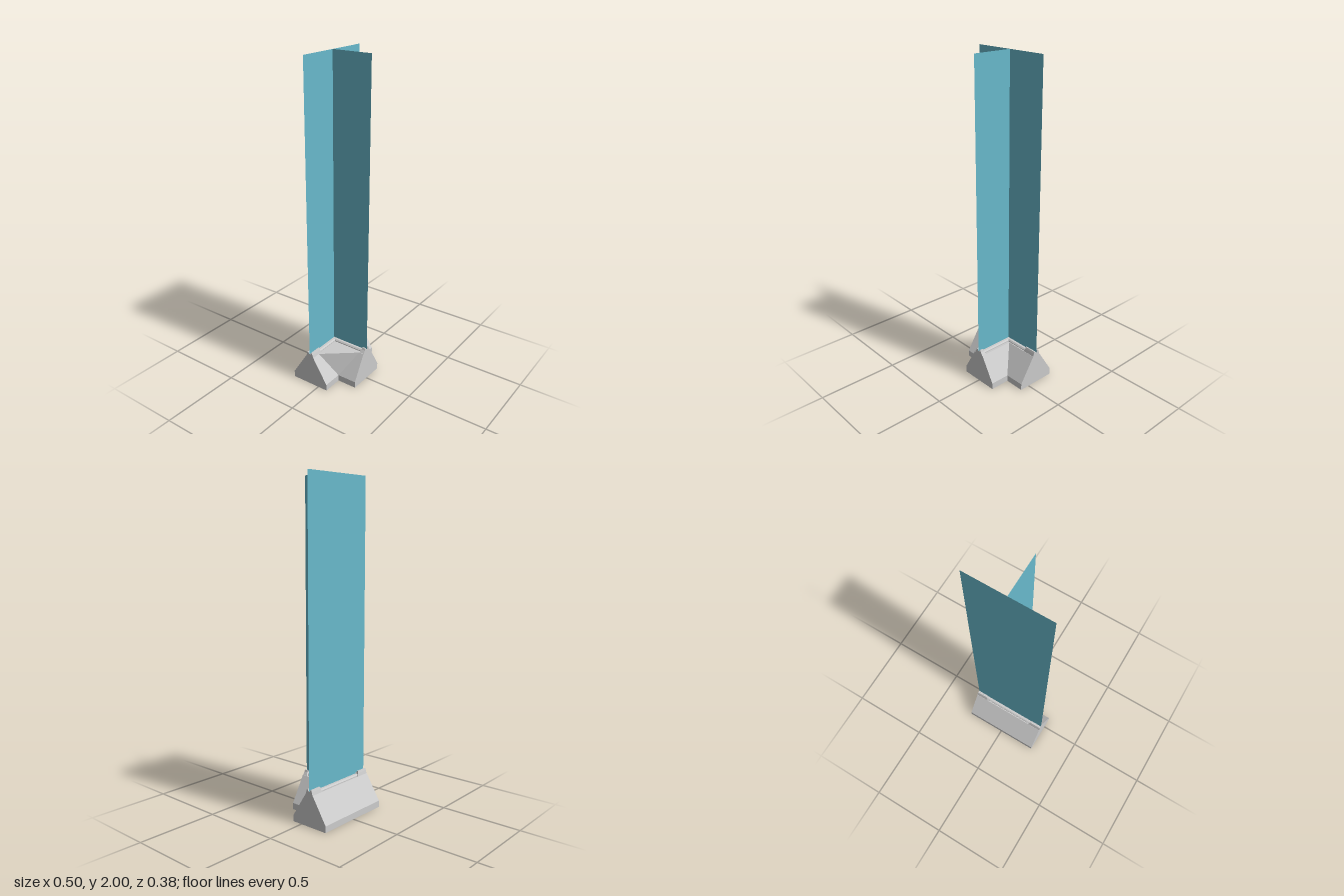
import * as THREE from 'three';
import { ConvexGeometry } from 'three/addons/geometries/ConvexGeometry.js';

const stone = new THREE.MeshStandardMaterial({ color: 0xcccccc, flatShading: true });
const glass = new THREE.MeshStandardMaterial({ color: 0x68b9cb, side: THREE.DoubleSide });

const RIDGE_Z = -0.0625; // centre line of the crossbar
const SHELF = 0.195;     // height of the lowered top

// Prism with a cross-section in x/y, running along z from z0 to z1
function prism(name, points, z0, z1) {
  const shape = new THREE.Shape(points.map(p => new THREE.Vector2(...p)));
  const geo = new THREE.ExtrudeGeometry(shape, { depth: z1 - z0, bevelEnabled: false });
  geo.translate(0, 0, z0);
  const mesh = new THREE.Mesh(geo, stone);
  mesh.name = name;
  return mesh;
}

// Mirrors the right half of a profile (listed bottom to top)
const mirrored = half => [...half, ...half.slice().reverse().map(([x, y]) => [-x, y])];

const bodyProfile = top => mirrored([[0.125, 0], [0.125, 0.04], [top, SHELF]]);
const railProfile = mirrored([[0.021, SHELF - 0.01], [0.021, 0.2], [0.014, 0.208]]);

// Raised end cap with a groove for the panel; its inner face leans back
function endCap(half, inner, outer) {
  const profile = mirrored([
    [half, SHELF - 0.005], [0.021, 0.213], [0.017, 0.225],
    [0.009, 0.225], [0.006, 0.214],
  ]);
  const mesh = prism('endCap', profile, Math.min(inner, outer), Math.max(inner, outer));
  const pos = mesh.geometry.attributes.position;
  for (let i = 0; i < pos.count; i++) {
    if (Math.abs(pos.getZ(i) - inner) < 1e-4 && pos.getY(i) > 0.21) {
      pos.setZ(i, inner + Math.sign(outer - inner) * 0.011);
    }
  }
  mesh.geometry.computeVertexNormals();
  return mesh;
}

function panel(name, width) {
  const mesh = new THREE.Mesh(new THREE.PlaneGeometry(width, 1.8), glass);
  mesh.position.y = 1.1;
  mesh.name = name;
  return mesh;
}

export function createModel() {
  const model = new THREE.Group();
  model.name = 'barrierJunction';

  // Crossbar of the T, built along z and turned to run along x
  const crossbar = new THREE.Group();
  crossbar.name = 'crossbar';
  crossbar.rotation.y = Math.PI / 2;
  crossbar.position.z = RIDGE_Z;
  crossbar.add(
    prism('crossbarBody', bodyProfile(0.027), -0.25, 0.25),
    prism('crossbarRail', railProfile, -0.2, 0.2),
    endCap(0.027, 0.164, 0.25),
    endCap(0.027, -0.164, -0.25),
  );
  model.add(crossbar);

  // Stem of the T, pointing forward
  const stem = new THREE.Group();
  stem.name = 'stem';
  stem.add(
    prism('stemBody', bodyProfile(0.036), RIDGE_Z, 0.1875),
    prism('stemRail', railProfile, RIDGE_Z, 0.17),
    endCap(0.036, 0.153, 0.1875),
  );
  model.add(stem);

  // Slanted fill in the right inside corner
  const fill = new THREE.Mesh(new ConvexGeometry([
    new THREE.Vector3(-0.195, SHELF, -0.037),
    new THREE.Vector3(-0.037, SHELF, 0.155),
    new THREE.Vector3(-0.125, 0.04, 0.0625),
    new THREE.Vector3(-0.02, SHELF, -0.05),
  ]), stone);
  fill.name = 'cornerFill';
  model.add(fill);

  // Thin tall panels standing in the grooves
  const widePanel = panel('crossbarPanel', 0.5);
  widePanel.position.z = RIDGE_Z;
  const stemPanel = panel('stemPanel', 0.25);
  stemPanel.rotation.y = Math.PI / 2;
  stemPanel.position.z = 0.0625;
  model.add(widePanel, stemPanel);

  return model;
}
